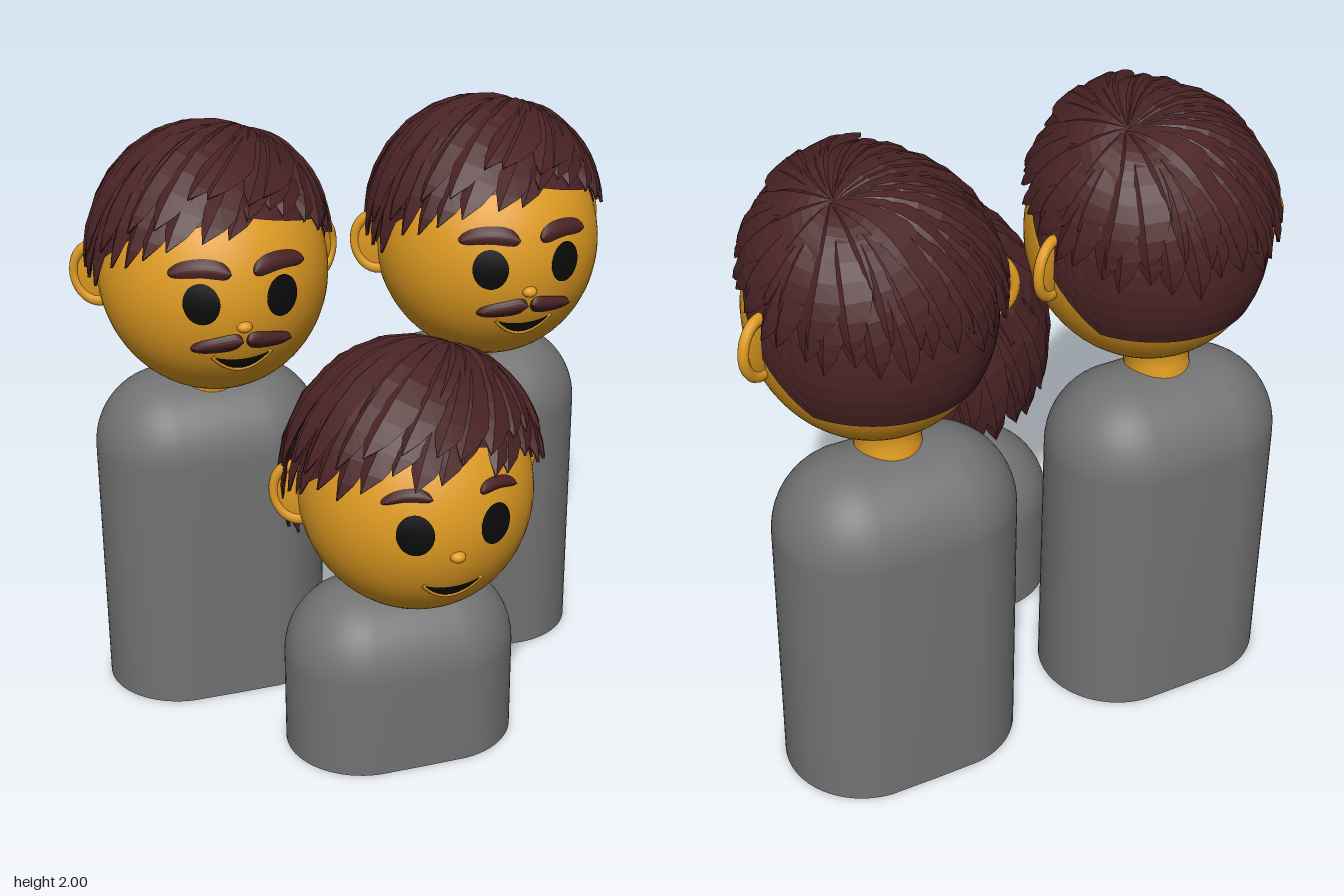
import * as THREE from 'three';
import { toCreasedNormals } from 'three/addons/utils/BufferGeometryUtils.js';

const material = (name, color, extra = {}) => {
  const m = new THREE.MeshStandardMaterial({ color, ...extra });
  m.name = name;
  return m;
};
const skin = material('golden skin', 0xdf9b22);
const grey = material('grey body', 0x727272);
const black = material('black features', 0x0b0b0b);
const hairFlat = material('dark brown hair', 0x4a2325, { flatShading: true, side: THREE.DoubleSide });

const HEAD = new THREE.Vector3(0.365, 0.39, 0.39);
const HAIR = new THREE.Vector3(0.385, 0.43, 0.41);
const CROWN = new THREE.Vector3(0.34, 0.9, -0.2).normalize();
const rad = THREE.MathUtils.degToRad;

function add(group, name, geometry, mat) {
  const mesh = new THREE.Mesh(geometry, mat);
  mesh.name = name;
  group.add(mesh);
  return mesh;
}

// Surface grid: u runs to the right, v runs downwards
function grid(nu, nv, point) {
  const pos = [], index = [];
  for (let j = 0; j <= nv; j++)
    for (let i = 0; i <= nu; i++) pos.push(...point(i / nu, j / nv).toArray());
  for (let j = 0; j < nv; j++)
    for (let i = 0; i < nu; i++) {
      const a = j * (nu + 1) + i, b = a + nu + 1;
      index.push(a, b, b + 1, a, b + 1, a + 1);
    }
  const g = new THREE.BufferGeometry();
  g.setAttribute('position', new THREE.Float32BufferAttribute(pos, 3));
  g.setIndex(index);
  g.computeVertexNormals();
  return g;
}

// Azimuth 0 is the front, positive towards the model's left; degrees
const direction = (az, el) => new THREE.Vector3(
  Math.sin(rad(az)) * Math.cos(rad(el)), Math.sin(rad(el)), Math.cos(rad(az)) * Math.cos(rad(el)));

// Linear lookup in rows of [azimuth, value, value]
function lookup(rows, az, col) {
  az = ((az + 540) % 360) - 180;
  for (let i = 1; i < rows.length; i++)
    if (az <= rows[i][0]) {
      const a = rows[i - 1], b = rows[i];
      return THREE.MathUtils.lerp(a[col], b[col], (az - a[0]) / (b[0] - a[0]));
    }
  return rows[0][col];
}

// Hairlines: [azimuth, elevation of the lock tips, outward flare]
const SHORT = [[-180, 3, 0], [-100, 2, 0.02], [-70, 6, 0.04], [-45, 22, 0.1], [-25, 29, 0.22],
  [0, 31, 0.18], [30, 36, 0.08], [55, 20, 0.02], [85, 10, 0], [120, 6, 0], [180, 3, 0]];
const LONG = [[-180, -27, 0.14], [-115, -27, 0.08], [-95, 5, 0.05], [-65, 14, 0.1], [-35, 25, 0.12],
  [0, 26, 0.14], [35, 27, 0.1], [60, 16, 0.06], [92, 8, 0.03], [112, -25, 0.06], [180, -27, 0.14]];
const SCALP = [[-180, -27], [-125, -27], [-105, -8], [-88, 8], [-60, 28], [0, 42],
  [60, 28], [88, 8], [105, -8], [125, -27], [180, -27]];

// Cap over the skull down to a hairline
function cap(radii, edge) {
  return grid(72, 16, (u, v) => {
    const az = u * 360 - 180;
    return direction(az, THREE.MathUtils.lerp(90, edge(az), v)).multiply(radii);
  });
}

// One tapered, ridged lock sweeping from the crown to its tip
function lock(tip, halfWidth, lift, flare, bend) {
  const section = [[-1, -0.025], [-0.25, 0.035], [1, 0.015], [0, -0.05]];
  const run = tip.clone().sub(CROWN);
  return grid(4, 9, (u, v) => {
    const d = CROWN.clone().lerp(tip, v).normalize();
    const side = d.clone().cross(run).normalize();
    const [across, up] = section[Math.round(u * 4) % 4];
    const taper = Math.pow(Math.sin(Math.PI * (0.1 + 0.9 * Math.pow(v, 1.25))), 0.75) || 0;
    d.addScaledVector(side, across * halfWidth * taper + bend * Math.sin(Math.PI * v)).normalize();
    const swell = 0.035 * Math.sin(Math.PI * v) + flare * v * v * v;
    return d.multiply(HAIR).multiplyScalar(1 + lift + swell + up * (0.3 + 0.7 * taper));
  });
}

function makeHair(rows, seed) {
  const random = () => (seed = (seed * 16807) % 2147483647) / 2147483647;
  const hair = new THREE.Group();
  hair.name = 'hair';
  add(hair, 'scalp', cap(HEAD.clone().addScalar(0.006), az => lookup(SCALP, az, 1)), hairFlat);
  add(hair, 'hairVolume', cap(HAIR, az => Math.min(60, lookup(rows, az, 1) + 17)), hairFlat);
  // Long under layer, then shorter upper layers
  const layers = [[32, 0, 0.15, 0], [25, 9, 0.15, 0.02], [15, 26, 0.14, 0.03]];
  layers.forEach(([count, raise, width, lift], n) => {
    for (let i = 0; i < count; i++) {
      const az = (i + n * 0.4 + random() * 0.4) * 360 / count - 180;
      const el = lookup(rows, az, 1) + raise + (random() - 0.5) * 8;
      const flare = lookup(rows, az, 2) * (n === 2 ? 0.3 : 0.85 + random() * 0.3);
      add(hair, 'hairLock', lock(direction(az, el), width * (0.85 + random() * 0.35),
        lift + random() * 0.015, flare, 0.06 + random() * 0.05), hairFlat);
    }
  });
  return hair;
}

// Patch lying on the face; top and bottom are functions of t from -1 to 1
function facePatch(x0, x1, top, bottom, bulge = 0.002, offset = 0.004) {
  return grid(24, 8, (u, v) => {
    const t = -Math.cos(Math.PI * u);
    const x = (x0 + x1) / 2 + t * (x1 - x0) / 2;
    const y = THREE.MathUtils.lerp(top(t), bottom(t), v);
    const z = HEAD.z * Math.sqrt(1 - (x / HEAD.x) ** 2 - (y / HEAD.y) ** 2);
    return new THREE.Vector3(x, y, z + offset + bulge * Math.sin(Math.PI * v));
  });
}
const round = t => Math.sqrt(Math.max(0, 1 - t * t));
const blunt = t => Math.pow(Math.max(0, 1 - t ** 4), 0.5);

function makeHead(adult) {
  const head = new THREE.Group();
  head.name = 'head';
  add(head, 'skull', new THREE.SphereGeometry(1, 64, 48).scale(HEAD.x, HEAD.y, HEAD.z), skin);
  add(head, 'nose', new THREE.SphereGeometry(1, 20, 14).scale(0.024, 0.018, 0.022), skin)
    .position.set(0, -0.06, 0.386);

  for (const s of [-1, 1]) {
    const range = (a, b) => (s > 0 ? [a, b] : [-b, -a]);
    add(head, 'eye', facePatch(...range(0.073, 0.179),
      t => 0.02 + 0.065 * round(t), t => 0.02 - 0.065 * round(t)), black);

    // Eyebrow, arched and tapering outwards
    const mid = t => (adult ? 0.128 : 0.14) - 0.018 * t * t - (adult ? 0.002 : 0.01) * t * s;
    const half = t => (adult ? 0.027 : 0.018) * blunt(t) * (1 - 0.15 * t * s);
    add(head, 'eyebrow', facePatch(...range(adult ? 0.035 : 0.075, 0.212),
      t => mid(t) + half(t), t => mid(t) - half(t), 0.012), hairFlat);

    if (adult) {
      const centre = t => -0.118 - 0.012 * t * s;
      const thick = t => 0.029 * blunt(t) * (1 - 0.2 * t * s);
      add(head, 'moustache', facePatch(...range(0.006, 0.158),
        t => centre(t) + thick(t), t => centre(t) - thick(t), 0.018), hairFlat);
    }

    // Ear: thin shell with a raised rim, swept back
    const ear = new THREE.Group();
    ear.name = 'ear';
    add(ear, 'earShell', new THREE.SphereGeometry(1, 24, 16).scale(0.075, 0.095, 0.014), skin);
    add(ear, 'earRim', new THREE.TorusGeometry(0.078, 0.017, 10, 36).scale(0.93, 1.16, 1), skin);
    ear.position.set(s * 0.362, 0, -0.06);
    ear.rotation.set(0, s * 0.5, -s * 0.08);
    head.add(ear);
  }

  // Smiling mouth with a thin lower lip line
  const smile = t => -0.168 - 0.048 * (1 - t * t);
  add(head, 'mouth', facePatch(-0.085, 0.085, t => -0.166 - 0.012 * (1 - t * t), smile), black);
  const lip = [];
  for (let i = 0; i <= 12; i++) {
    const t = i / 6 - 1, x = t * 0.095, y = smile(t) - 0.005 + 0.012 * t * t;
    lip.push(new THREE.Vector3(x, y, HEAD.z * Math.sqrt(1 - (x / HEAD.x) ** 2 - (y / HEAD.y) ** 2)));
  }
  add(head, 'lip', new THREE.TubeGeometry(new THREE.CatmullRomCurve3(lip), 32, 0.007, 8), skin);

  head.add(makeHair(adult ? SHORT : LONG, adult ? 4721 : 915));
  return head;
}

// Torso: a domed column stretched sideways into a stadium plan
function torsoGeometry(height) {
  const r = 0.255, points = [new THREE.Vector2(0, 0), new THREE.Vector2(r, 0)];
  for (let i = 0; i <= 16; i++) {
    const a = (i / 16) * Math.PI / 2;
    points.push(new THREE.Vector2(i === 16 ? 0 : r * Math.cos(a), height - r + r * Math.sin(a)));
  }
  const g = new THREE.LatheGeometry(points, 64);
  const p = g.attributes.position, uv = g.attributes.uv;
  for (let i = 0; i < p.count; i++) {
    const s = Math.sin(uv.getX(i) * Math.PI * 2);
    if (Math.abs(s) > 1e-6) p.setX(i, p.getX(i) + Math.sign(s) * 0.126);
  }
  return toCreasedNormals(g, 0.6);
}

function makePerson(name, height, adult) {
  const person = new THREE.Group();
  person.name = name;
  add(person, 'torso', torsoGeometry(height), grey);
  const profile = [[0.104, -0.06], [0.102, 0], [0.104, 0.04], [0.125, 0.08], [0.17, 0.11]]
    .map(([x, y]) => new THREE.Vector2(x, y));
  const neck = add(person, 'neck', new THREE.LatheGeometry(profile, 40), skin);
  neck.position.set(0, height, 0.04);
  neck.rotation.x = 0.2;
  const head = makeHead(adult);
  head.position.set(0, height + 0.4, 0.145);
  person.add(head);
  return person;
}

export function createModel() {
  const model = new THREE.Group();
  model.name = 'familyOfThree';
  for (const s of [-1, 1]) {
    const adult = makePerson(s < 0 ? 'rightAdult' : 'leftAdult', 1.13, true);
    adult.position.set(s * 0.465, 0, -0.465);
    model.add(adult);
  }
  const child = makePerson('child', 0.58, false);
  child.position.set(0, 0, 0.155);
  model.add(child);
  return model;
}
